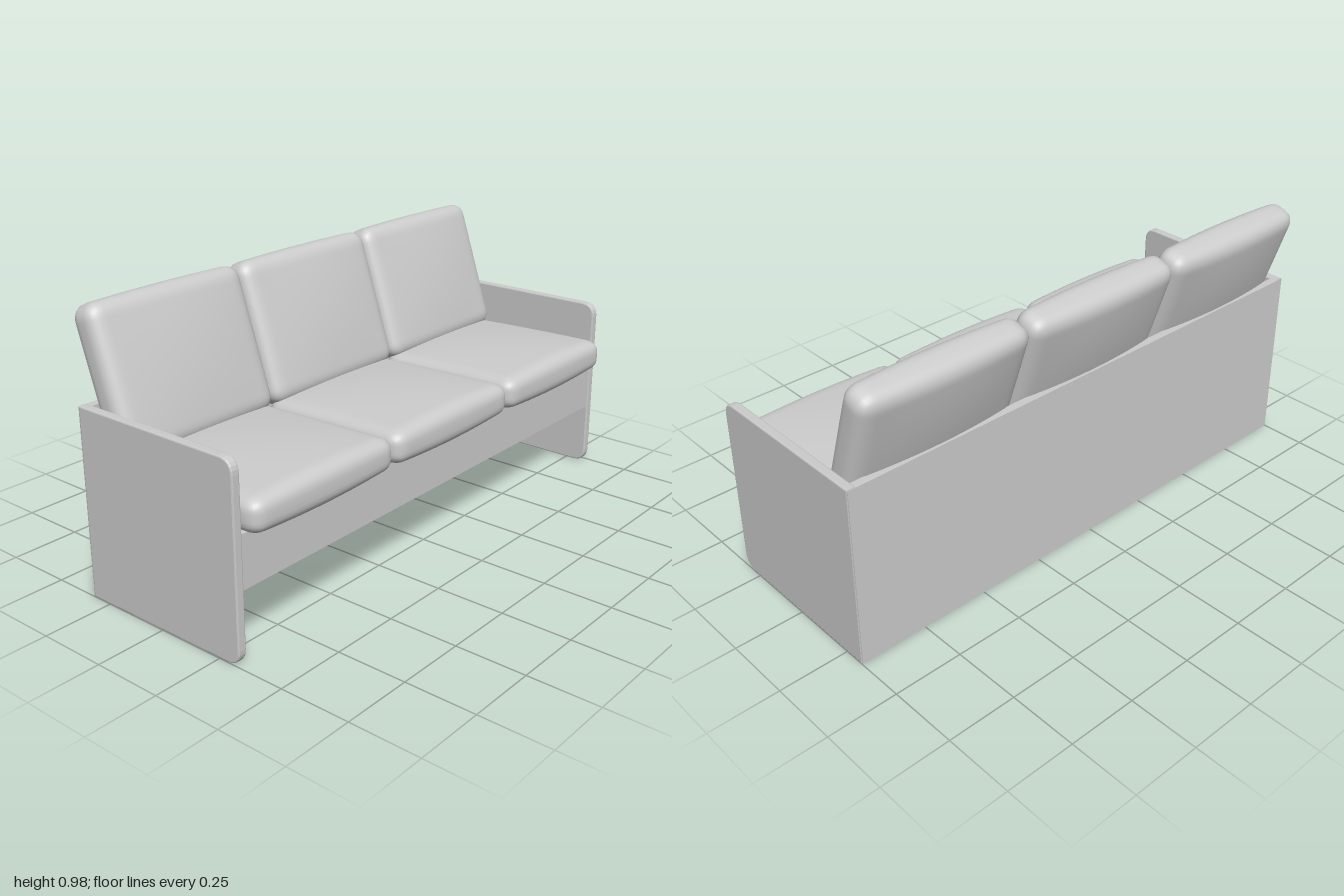
import * as THREE from 'three';
import { mergeVertices } from 'three/addons/utils/BufferGeometryUtils.js';

const material = new THREE.MeshStandardMaterial({ color: 0xcccccc });

function addMesh(parent, name, geometry, x, y, z) {
  const mesh = new THREE.Mesh(geometry, material);
  mesh.name = name;
  mesh.position.set(x, y, z);
  parent.add(mesh);
  return mesh;
}

// Upholstered pad: a box with softly rounded edges and crowned faces, lying flat
function cushionGeometry(width, depth) {
  const half = new THREE.Vector3(width / 2, 0.055, depth / 2);
  const radius = new THREE.Vector3(0.05, 0.038, 0.05);
  const inner = half.clone().sub(radius);
  const innerMin = inner.clone().negate();
  let geo = new THREE.BoxGeometry(half.x * 2, half.y * 2, half.z * 2, 36, 8, 36);
  geo.deleteAttribute('uv');
  geo.deleteAttribute('normal');
  geo = mergeVertices(geo, 1e-4);
  const pos = geo.attributes.position;
  const p = new THREE.Vector3(), core = new THREE.Vector3(), d = new THREE.Vector3();
  for (let i = 0; i < pos.count; i++) {
    p.fromBufferAttribute(pos, i);
    core.copy(p).clamp(innerMin, inner);
    d.copy(p).sub(core).divide(radius);
    const reach = Math.max(Math.abs(d.x), Math.abs(d.y), Math.abs(d.z));
    d.multiplyScalar(reach / d.length()).multiply(radius);
    p.copy(core).add(d);
    // crown the broad faces and bow the ends slightly
    const u = 1 - (p.x / half.x) ** 2;
    const v = 1 - 0.65 * (p.z / half.z) ** 2;
    p.y *= 1 + 0.43 * u * v;
    p.z *= 1 + 0.02 * u;
    pos.setXYZ(i, p.x, p.y, p.z);
  }
  geo.computeVertexNormals();
  return geo;
}

// Side board outline in (z, y): rounded at the front, square at the back
function sideGeometry() {
  const b = 0.005, back = -0.328 + b, front = 0.332 - b, low = b, high = 0.66 - b, r = 0.045;
  const s = new THREE.Shape();
  s.moveTo(back, low);
  s.lineTo(front - r, low);
  s.quadraticCurveTo(front, low, front, low + r);
  s.lineTo(front, high - r);
  s.quadraticCurveTo(front, high, front - r, high);
  s.lineTo(back, high);
  s.closePath();
  const geo = new THREE.ExtrudeGeometry(s, {
    depth: 0.032 - 2 * b, bevelThickness: b, bevelSize: b, bevelSegments: 2, curveSegments: 6,
  });
  geo.translate(0, 0, -0.016 + b);
  geo.rotateY(-Math.PI / 2); // shape x becomes z
  return geo;
}

export function createModel() {
  const sofa = new THREE.Group();
  sofa.name = 'sofa';

  // Frame boards
  const side = sideGeometry();
  addMesh(sofa, 'leftSidePanel', side, 0.984, 0, 0);
  addMesh(sofa, 'rightSidePanel', side, -0.984, 0, 0);
  addMesh(sofa, 'backPanel', new THREE.BoxGeometry(1.996, 0.657, 0.03), 0, 0.3295, -0.315);
  addMesh(sofa, 'frontRail', new THREE.BoxGeometry(1.94, 0.18, 0.03), 0, 0.33, 0.313);

  // Three seat cushions and three leaning back cushions
  const seat = cushionGeometry(0.642, 0.58);
  const backrest = cushionGeometry(0.642, 0.5);
  const lean = THREE.MathUtils.degToRad(18.5);
  for (let i = -1; i <= 1; i++) {
    addMesh(sofa, 'seatCushion', seat, i * 0.645, 0.465, 0.092).rotation.x = -0.025;
    addMesh(sofa, 'backCushion', backrest, i * 0.645, 0.73, -0.262).rotation.x = Math.PI / 2 - lean;
  }
  return sofa;
}
